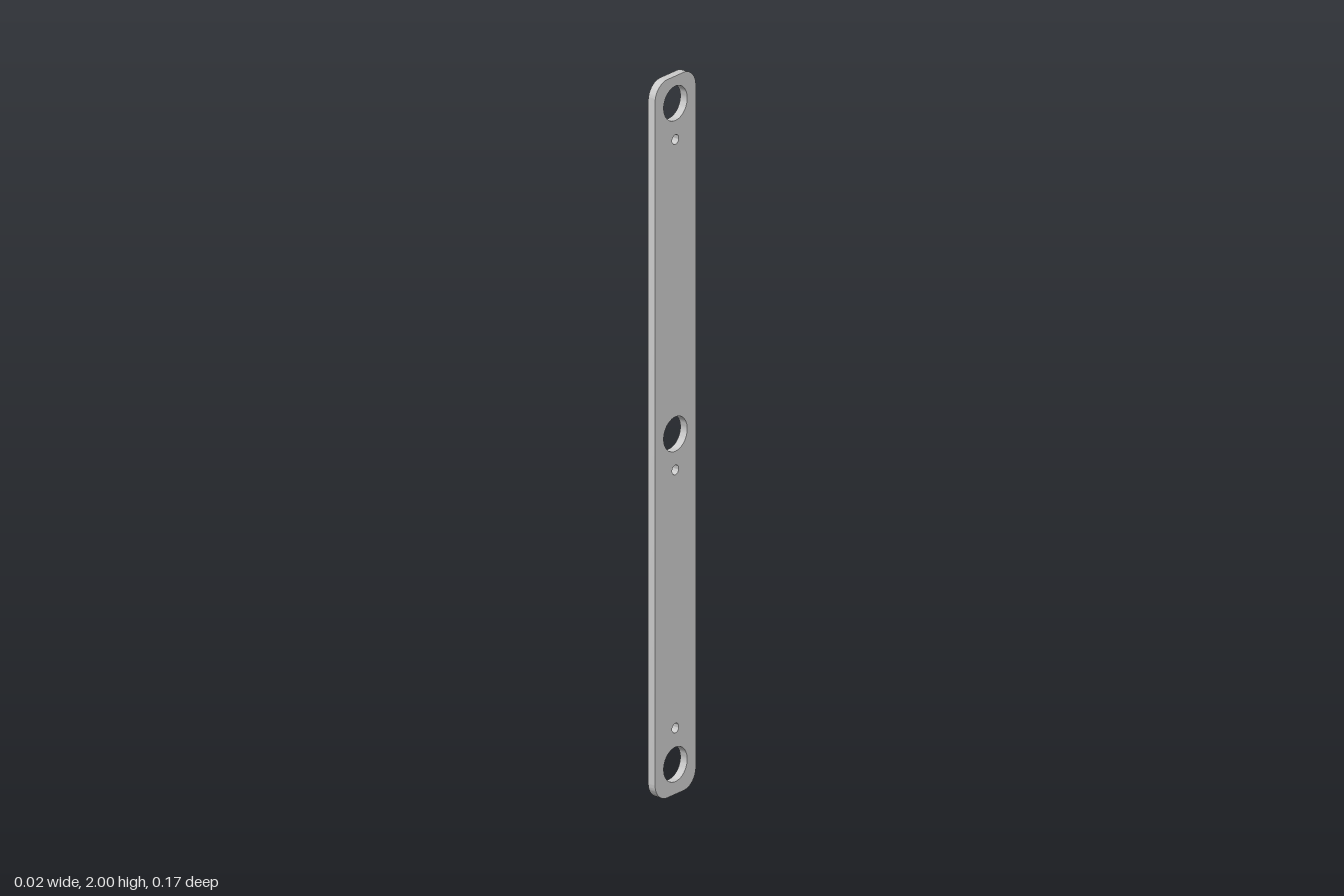
import * as THREE from 'three';
import { toCreasedNormals } from 'three/addons/utils/BufferGeometryUtils.js';

const LENGTH = 2, HALF_WIDTH = 0.083, THICKNESS = 0.023, CORNER = 0.05;

// Rounded outline of the bar, standing on y = 0
function barOutline() {
  const w = HALF_WIDTH, r = CORNER, h = LENGTH;
  const s = new THREE.Shape();
  s.moveTo(-w + r, 0);
  s.lineTo(w - r, 0);
  s.absarc(w - r, r, r, -Math.PI / 2, 0, false);
  s.lineTo(w, h - r);
  s.absarc(w - r, h - r, r, 0, Math.PI / 2, false);
  s.lineTo(-w + r, h);
  s.absarc(-w + r, h - r, r, Math.PI / 2, Math.PI, false);
  s.lineTo(-w, r);
  s.absarc(-w + r, r, r, Math.PI, Math.PI * 1.5, false);
  return s;
}

function roundHole(y, radius) {
  return new THREE.Path().absarc(0, y, radius, 0, Math.PI * 2, true);
}

export function createModel() {
  const group = new THREE.Group();
  group.name = 'drilledBar';

  const outline = barOutline();
  // Large mounting holes, each with a small pin hole nearby
  for (const y of [0.083, 1.003, 1.924]) outline.holes.push(roundHole(y, 0.048));
  for (const y of [0.184, 0.903, 1.823]) outline.holes.push(roundHole(y, 0.0135));

  // Extrude the thickness and turn it to lie along x
  const geometry = new THREE.ExtrudeGeometry(outline, {
    depth: THICKNESS, bevelEnabled: false, curveSegments: 20,
  });
  geometry.translate(0, 0, -THICKNESS / 2);
  geometry.rotateY(Math.PI / 2);

  const bar = new THREE.Mesh(
    toCreasedNormals(geometry, Math.PI / 6),
    new THREE.MeshStandardMaterial({ color: 0xcccccc }),
  );
  bar.name = 'flatBar';
  group.add(bar);
  return group;
}
